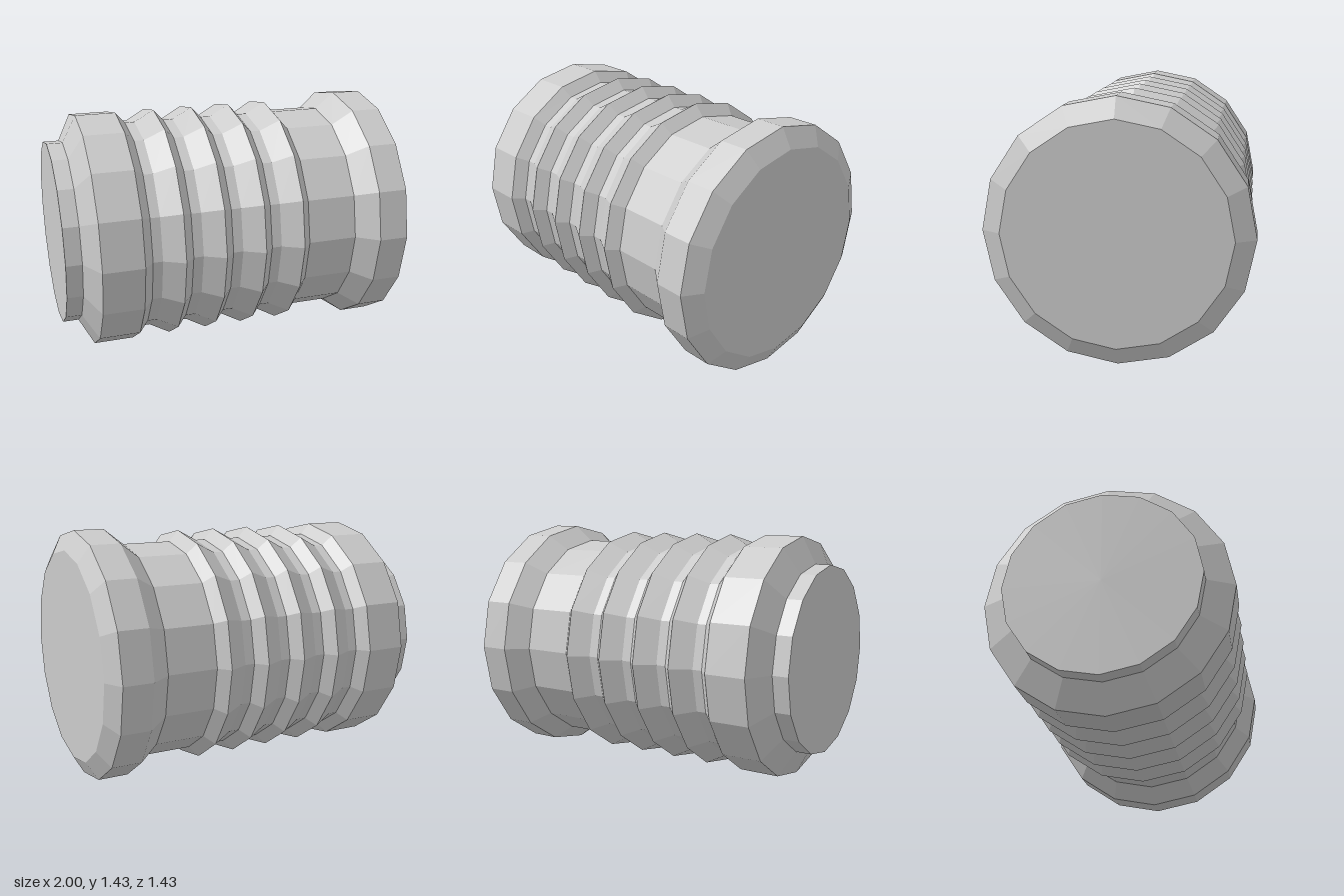
import * as THREE from 'three';

const SIDES = 16;
const BASE = 0.622; // radius of the barrel between ribs
const RIDGE = 0.685; // radius of the ribs and the collar
const HEAD = 0.713; // largest radius, at the head

const material = new THREE.MeshStandardMaterial({ color: 0xcccccc, flatShading: true });

// Turns a profile of [x, radius] points around the x axis.
function turned(name, profile) {
  const points = profile.map(([x, r]) => new THREE.Vector2(r, x));
  const geometry = new THREE.LatheGeometry(points, SIDES);
  geometry.rotateZ(-Math.PI / 2);
  const mesh = new THREE.Mesh(geometry, material);
  mesh.name = name;
  return mesh;
}

export function createModel() {
  const group = new THREE.Group();
  group.name = 'ribbedPlug';

  // Narrow closed tip stepping up to a wide collar
  const collar = turned('endCollar', [
    [-1, 0], [-1, 0.533], [-0.91, 0.533], [-0.83, RIDGE], [-0.6, RIDGE], [-0.545, BASE],
  ]);

  // Barrel with four sawtooth ribs: flat, slow rise, steep drop
  const ribs = [[-0.545, BASE]];
  for (let i = 0; i < 4; i++) {
    const x = -0.49 + i * 0.229;
    ribs.push([x, BASE], [x + 0.115, RIDGE], [x + 0.172, BASE]);
  }
  ribs.push([0.655, BASE]);
  const barrel = turned('ribbedBarrel', ribs);

  // Flared head with a bevelled closed end
  const head = turned('flaredHead', [
    [0.655, BASE], [0.77, HEAD], [0.94, HEAD], [1, 0.605], [1, 0],
  ]);

  group.add(collar, barrel, head);
  group.position.y = HEAD;
  const model = new THREE.Group();
  model.add(group);
  return model;
}
